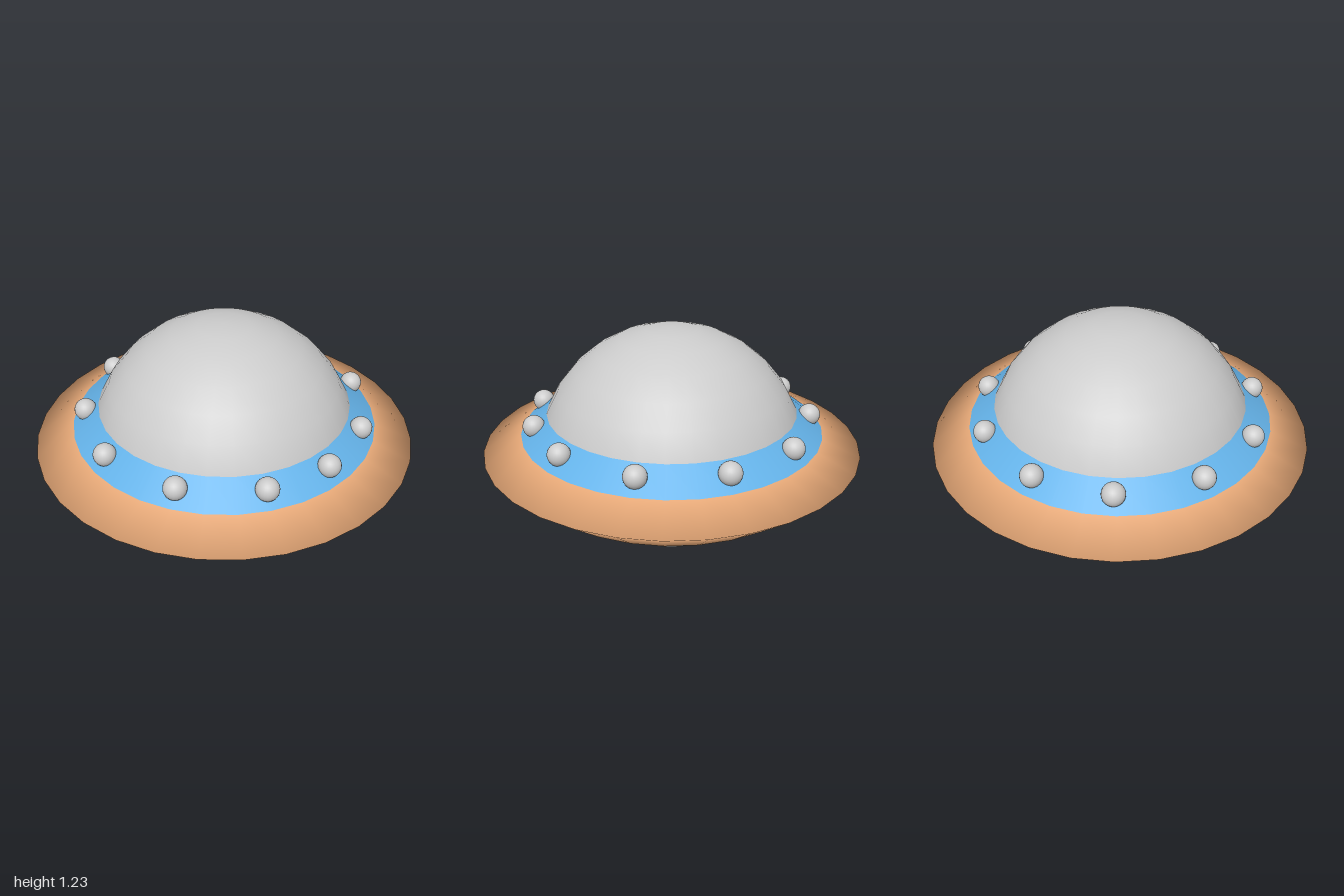
import * as THREE from 'three';

const SIDES = 32;

export function createModel() {
  const model = new THREE.Group();
  const grey = new THREE.MeshStandardMaterial({ color: 0xcccccc });
  const orange = new THREE.MeshStandardMaterial({ color: 0xe6a877 });
  const blue = new THREE.MeshStandardMaterial({ color: 0x64b2e8 });

  const add = (name, geometry, material, y = 0) => {
    const mesh = new THREE.Mesh(geometry, material);
    mesh.name = name;
    mesh.position.y = y;
    model.add(mesh);
    return mesh;
  };
  // Revolved band; profile runs from bottom to top as [radius, y]
  const band = (name, material, profile) =>
    add(name, new THREE.LatheGeometry(profile.map(([r, y]) => new THREE.Vector2(r, y)), SIDES), material);

  // Saucer hull
  band('lowerBand', blue, [[0.495, 0.338], [0.8, 0.44]]);
  band('rim', orange, [[0.8, 0.44], [1, 0.6], [0.8, 0.683]]);
  band('upperBand', blue, [[0.8, 0.683], [0.66, 0.79]]);

  // Spherical caps above and below, six rings of a 16-ring sphere each
  const cap = Math.PI * 6 / 16;
  add('dome', new THREE.SphereGeometry(0.715, SIDES, 6, 0, Math.PI * 2, 0, cap), grey, 0.516);
  add('belly', new THREE.SphereGeometry(0.538, SIDES, 6, 0, Math.PI * 2, Math.PI - cap, cap), grey, 0.543);

  // Lamps round the upper band, slightly unevenly spaced (degrees from the front)
  const lampGeometry = new THREE.SphereGeometry(0.058, 24, 16);
  const lampAngles = [0, 33.7, 61.2, 90, 124.2, 158.8, 191.1, 225.4, 257.6, 292.6, 325.6];
  for (const degrees of lampAngles) {
    const a = THREE.MathUtils.degToRad(degrees);
    const lamp = add('lamp', lampGeometry, grey);
    lamp.position.set(0.73 * Math.sin(a), 0.754, 0.73 * Math.cos(a));
  }
  return model;
}
